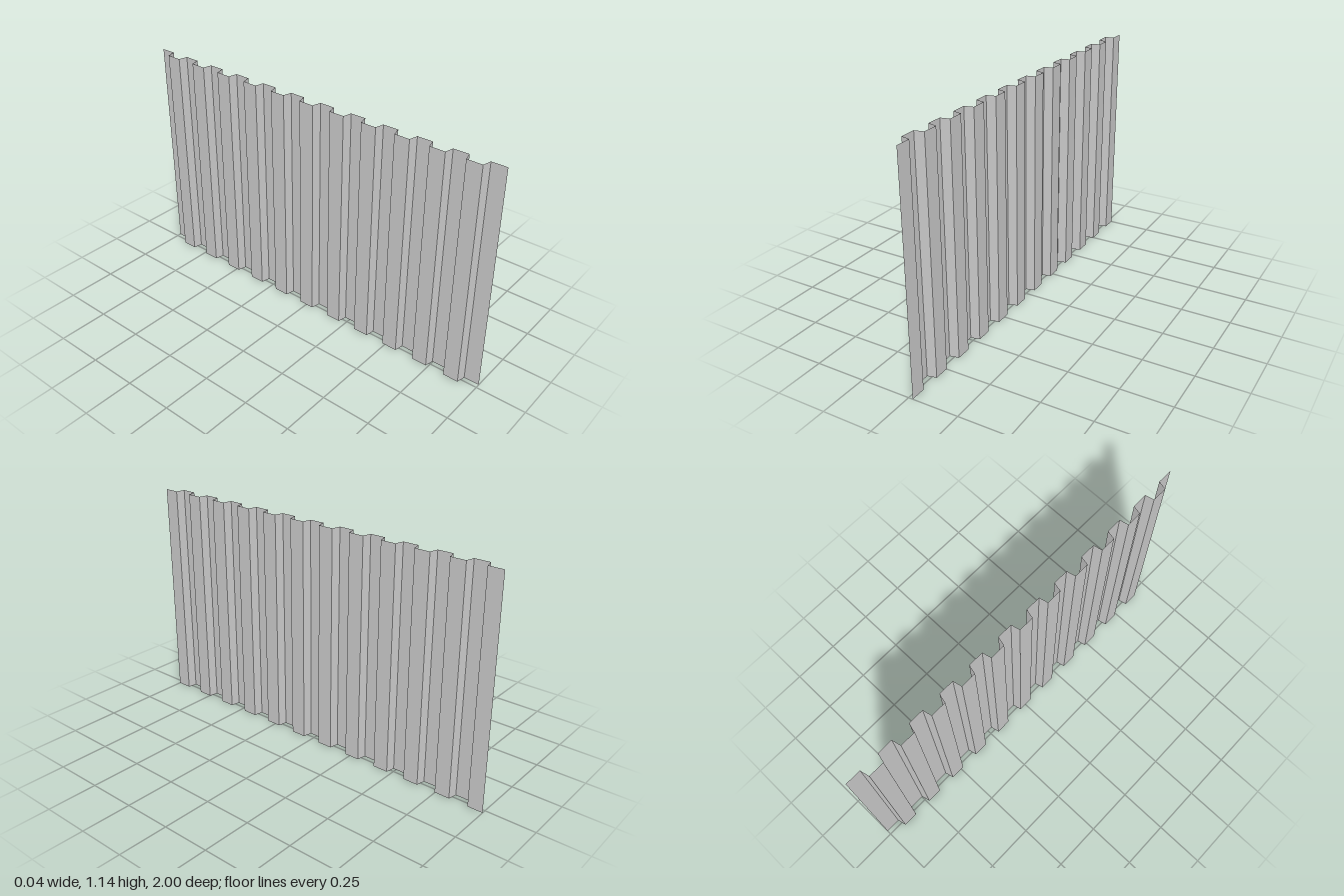
import * as THREE from 'three';

const HEIGHT = 1.145, HALF_DEPTH = 0.022;
const FLATS = 23, RAMP = 0.01;

// Zigzag profile seen from above: flats alternating between +x and -x, joined by steep ramps
function sheetProfile() {
  const flat = (2 - (FLATS - 1) * RAMP) / FLATS;
  const points = [];
  for (let i = 0; i < FLATS; i++) {
    const x = i % 2 === 0 ? HALF_DEPTH : -HALF_DEPTH;
    const z = 1 - i * (flat + RAMP);
    points.push([x, z], [x, z - flat]);
  }
  return points;
}

// Raise the profile into a thin wall with hard folds
function raiseProfile(points, height) {
  const positions = [];
  for (let i = 0; i < points.length - 1; i++) {
    const [x0, z0] = points[i], [x1, z1] = points[i + 1];
    positions.push(x0, 0, z0, x1, 0, z1, x1, height, z1);
    positions.push(x0, 0, z0, x1, height, z1, x0, height, z0);
  }
  const geometry = new THREE.BufferGeometry();
  geometry.setAttribute('position', new THREE.Float32BufferAttribute(positions, 3));
  geometry.computeVertexNormals();
  return geometry;
}

export function createModel() {
  const group = new THREE.Group();
  group.name = 'corrugatedPanel';
  const material = new THREE.MeshStandardMaterial({
    color: 0xcccccc, flatShading: true, side: THREE.DoubleSide,
  });
  const sheet = new THREE.Mesh(raiseProfile(sheetProfile(), HEIGHT), material);
  sheet.name = 'corrugatedSheet';
  group.add(sheet);
  return group;
}
